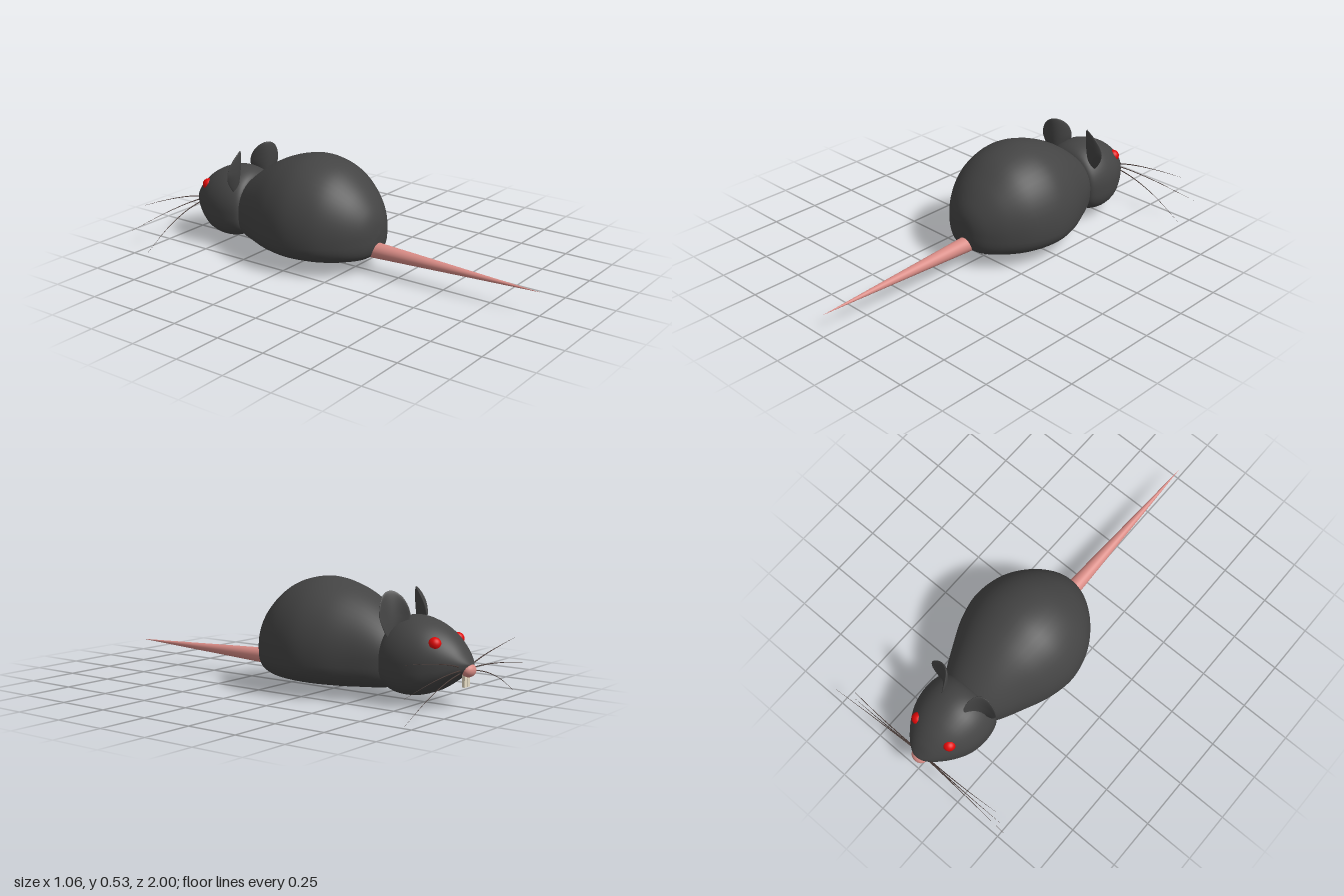
import * as THREE from 'three';
import { mergeVertices } from 'three/addons/utils/BufferGeometryUtils.js';

const material = (color) => new THREE.MeshStandardMaterial({ color, side: THREE.DoubleSide });
const fur = material(0x444444);
const skin = material(0xd98c86);
const red = material(0xe00808);
const ivory = material(0xe6dcc4);
const hair = material(0x4a3c38);

const MID = 0.2; // height of the widest line of body and head

function add(parent, name, geometry, mat) {
  const mesh = new THREE.Mesh(geometry, mat);
  mesh.name = name;
  parent.add(mesh);
  return mesh;
}

// Smooth loft through stations [z, half width, top y, bottom y]:
// elliptical dome above the widest line, squarer belly below it.
function loft(stations, rings = 64, sides = 48) {
  const outline = new THREE.CatmullRomCurve3(
    stations.map(([z, w, top]) => new THREE.Vector3(w, top, z)), false, 'centripetal');
  const belly = new THREE.CatmullRomCurve3(
    stations.map(([z, w, , bottom]) => new THREE.Vector3(w, bottom, z)), false, 'centripetal');
  const positions = [];
  const index = [];
  for (let i = 0; i <= rings; i++) {
    const p = outline.getPoint(i / rings);
    const bottom = belly.getPoint(i / rings).y;
    const w = Math.max(p.x, 0);
    const mid = Math.min(Math.max(MID, bottom), p.y);
    for (let j = 0; j < sides; j++) {
      const a = (j / sides) * Math.PI * 2;
      const c = Math.cos(a), s = Math.sin(a);
      const e = s < 0 ? 2 / 3.1 : 1;
      const x = w * Math.sign(c) * Math.abs(c) ** e;
      const y = s < 0 ? mid - (mid - bottom) * Math.abs(s) ** e : mid + (p.y - mid) * s;
      positions.push(x, y, p.z);
      if (i < rings) {
        const k = i * sides + j, n = i * sides + ((j + 1) % sides);
        index.push(k, k + sides, n, n, k + sides, n + sides);
      }
    }
  }
  let geometry = new THREE.BufferGeometry();
  geometry.setAttribute('position', new THREE.Float32BufferAttribute(positions, 3));
  geometry.setIndex(index);
  geometry = mergeVertices(geometry, 1e-5);
  geometry.computeVertexNormals();
  return geometry;
}

// Cupped ear: a flattened ball, narrower at the root, with its edges bent forward (-z)
function earGeometry() {
  const geometry = new THREE.SphereGeometry(1, 32, 24);
  const pos = geometry.attributes.position;
  for (let i = 0; i < pos.count; i++) {
    const x = pos.getX(i), y = pos.getY(i), z = pos.getZ(i);
    const width = 0.076 * (y < 0 ? 1 + 0.35 * y : 1);
    pos.setXYZ(i, x * width, y * 0.11, z * 0.012 - 0.038 * x * x + 0.012 * y);
  }
  geometry.computeVertexNormals();
  return geometry;
}

// Whisker: a thin tube that tapers to a point
function whiskerGeometry(points) {
  const curve = new THREE.CatmullRomCurve3(points.map((p) => new THREE.Vector3(...p)));
  const segments = 20, sides = 6;
  const geometry = new THREE.TubeGeometry(curve, segments, 0.0032, sides);
  const pos = geometry.attributes.position;
  const v = new THREE.Vector3();
  for (let i = 0; i < pos.count; i++) {
    const t = Math.floor(i / (sides + 1)) / segments;
    v.fromBufferAttribute(pos, i).lerp(curve.getPointAt(t), t * 0.9);
    pos.setXYZ(i, v.x, v.y, v.z);
  }
  return geometry;
}

export function createModel() {
  const model = new THREE.Group();
  model.name = 'rodent';

  // Pear-shaped body, rump towards +z
  add(model, 'body', loft([
    [0.137, 0, 0.2, 0.2],
    [0.128, 0.065, 0.275, 0.125],
    [0.1, 0.125, 0.338, 0.086],
    [0.03, 0.205, 0.425, 0.066],
    [-0.08, 0.275, 0.505, 0.054],
    [-0.22, 0.305, 0.536, 0.05],
    [-0.35, 0.282, 0.512, 0.05],
    [-0.48, 0.225, 0.452, 0.054],
    [-0.61, 0.155, 0.355, 0.066],
    [-0.66, 0.1, 0.3, 0.1],
    [-0.67, 0, 0.2, 0.2],
  ]), fur);

  // Head, tapering to the snout towards -z
  add(model, 'head', loft([
    [-0.594, 0, 0.2, 0.2],
    [-0.597, 0.12, 0.31, 0.11],
    [-0.61, 0.163, 0.36, 0.08],
    [-0.65, 0.18, 0.387, 0.055],
    [-0.72, 0.186, 0.396, 0.045],
    [-0.8, 0.172, 0.376, 0.058],
    [-0.87, 0.138, 0.338, 0.098],
    [-0.93, 0.092, 0.283, 0.143],
    [-0.965, 0.054, 0.235, 0.166],
    [-0.983, 0.02, 0.207, 0.188],
    [-0.986, 0, 0.2, 0.2],
  ]), fur);

  // Tail
  const tail = add(model, 'tail', new THREE.ConeGeometry(0.041, 0.92, 32, 8), skin);
  tail.rotation.x = Math.PI / 2;
  tail.position.set(0, 0.12, 0.54);

  // Nose
  const nose = add(model, 'nose', new THREE.SphereGeometry(1, 24, 16), skin);
  nose.scale.set(0.04, 0.031, 0.03);
  nose.position.set(0, 0.175, -0.97);

  const ear = earGeometry();
  const whiskers = [
    [[0.02, 0.185, -0.955], [0.15, 0.218, -0.957], [0.31, 0.243, -0.954], [0.465, 0.26, -0.945]],
    [[0.02, 0.178, -0.957], [0.15, 0.178, -0.964], [0.31, 0.166, -0.972], [0.53, 0.136, -0.983]],
    [[0.02, 0.17, -0.955], [0.15, 0.147, -0.957], [0.3, 0.095, -0.954], [0.465, 0.008, -0.945]],
  ];

  // Paired parts
  for (const side of [-1, 1]) {
    const label = side > 0 ? 'left' : 'right';

    const earMesh = add(model, label + 'Ear', ear, fur);
    earMesh.position.set(side * 0.112, 0.396, -0.64);
    earMesh.rotation.y = -side * 0.52;

    const eye = add(model, label + 'Eye', new THREE.SphereGeometry(0.03, 24, 16), red);
    eye.position.set(side * 0.097, 0.29, -0.855);

    const tooth = add(model, label + 'Tooth', new THREE.BoxGeometry(0.021, 0.06, 0.014), ivory);
    tooth.position.set(side * 0.012, 0.13, -0.957);

    for (const points of whiskers) {
      const mirrored = points.map(([x, y, z]) => [side * x, y, z]);
      add(model, label + 'Whisker', whiskerGeometry(mirrored), hair);
    }
  }
  return model;
}
